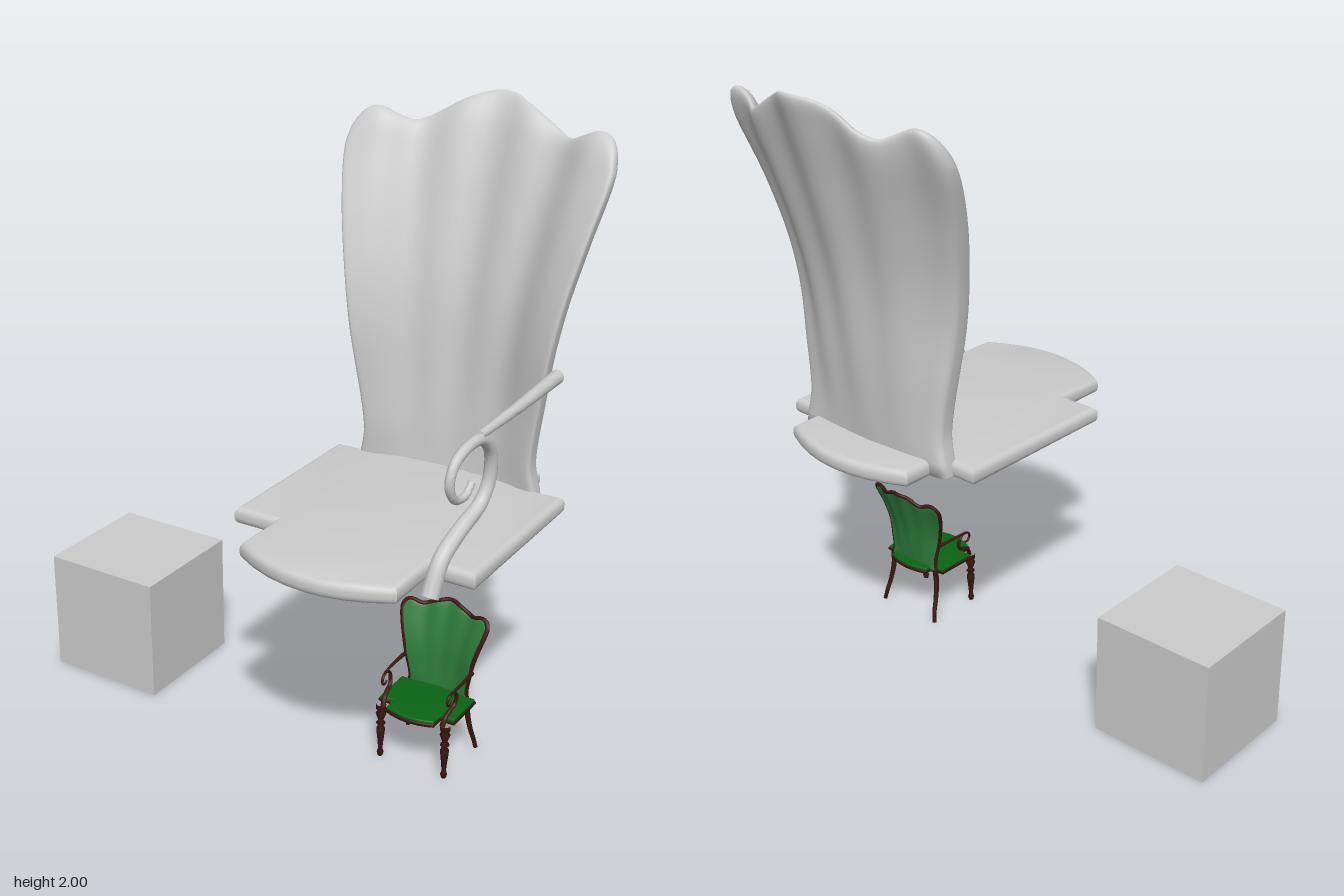
import * as THREE from 'three';
import { toCreasedNormals, mergeVertices } from 'three/addons/utils/BufferGeometryUtils.js';

const mat = (color) => new THREE.MeshStandardMaterial({ color });
const GREY = mat(0xcccccc), GREEN = mat(0x2c7a3a), SEAT_GREEN = mat(0x0a6414), BROWN = mat(0x3a1610);

function add(parent, name, geometry, material) {
  const m = new THREE.Mesh(geometry, material);
  m.name = name;
  parent.add(m);
  return m;
}

// Smooth curve through [input, output] pairs
function interp(pts, t) {
  const n = pts.length - 1;
  let i = 0;
  while (i < n - 1 && t > pts[i + 1][0]) i++;
  const slope = (j) => {
    const a = pts[Math.max(j - 1, 0)], b = pts[Math.min(j + 1, n)];
    return (b[1] - a[1]) / (b[0] - a[0]);
  };
  const [x0, y0] = pts[i], [x1, y1] = pts[i + 1], h = x1 - x0;
  const s = Math.min(Math.max((t - x0) / h, 0), 1), s2 = s * s, s3 = s2 * s;
  return y0 * (2 * s3 - 3 * s2 + 1) + slope(i) * h * (s3 - 2 * s2 + s)
    + y1 * (3 * s2 - 2 * s3) + slope(i + 1) * h * (s3 - s2);
}

// Backrest profiles: top edge across the width, then width, lean and wing curl by height
const BASE = 0.79;
const TOP = [[0, 2], [0.12, 1.993], [0.28, 1.965], [0.45, 1.92], [0.58, 1.895], [0.7, 1.915], [0.82, 1.936], [0.92, 1.925], [0.98, 1.885], [1, 1.83]];
const WIDTH = [[0.79, 0.32], [0.83, 0.315], [0.92, 0.298], [1.13, 0.325], [1.42, 0.372], [1.63, 0.415], [1.81, 0.449], [1.9, 0.447], [2, 0.44]];
const LEAN = [[0.79, -0.31], [1.05, -0.34], [1.4, -0.385], [1.71, -0.463], [1.9, -0.525], [2, -0.568]];
const CURL = [[0.79, 0.025], [1.05, 0.075], [1.29, 0.122], [1.61, 0.142], [1.82, 0.13], [2, 0.118]];

function backPoint(u, v) {
  const y = BASE + v * (interp(TOP, Math.abs(u)) - BASE);
  const flute = -0.014 * v * Math.cos(4 * Math.PI * u);
  return new THREE.Vector3(u * interp(WIDTH, y), y, interp(LEAN, y) + interp(CURL, y) * u * u + flute);
}

// Padded backrest as stacked closed cross-sections
function backGeometry() {
  const rows = 40, ring = 96, pos = [], index = [];
  for (let r = -1; r <= rows; r++) {
    const v = Math.sin(Math.max(r, 0) / rows * Math.PI / 2);
    const pad = r < 0 ? 0 : Math.sqrt(Math.max(0, 1 - v ** 30));
    for (let i = 0; i < ring; i++) {
      const a = i / ring * Math.PI * 2, u = Math.cos(a), s = Math.sin(a);
      const p = backPoint(u, v);
      const half = (0.024 + 0.036 * u ** 4) * pad;
      pos.push(p.x, p.y, p.z + half * Math.sign(s) * Math.abs(s) ** 0.45);
      if (r < rows) {
        const b = (r + 1) * ring, j = (i + 1) % ring;
        index.push(b + i, b + ring + i, b + j, b + j, b + ring + i, b + ring + j);
      }
    }
  }
  const g = new THREE.BufferGeometry();
  g.setAttribute('position', new THREE.Float32BufferAttribute(pos, 3));
  g.setIndex(index);
  g.computeVertexNormals();
  return g;
}

// Seat slab with narrower bowed tabs at front and rear
function seatGeometry() {
  const s = new THREE.Shape();
  s.moveTo(-0.262, 0.515);
  s.quadraticCurveTo(0, 0.68, 0.262, 0.515);
  [[0.262, 0.33], [0.409, 0.33], [0.409, -0.28], [0.262, -0.28], [0.262, -0.42]].forEach((p) => s.lineTo(...p));
  s.quadraticCurveTo(0, -0.56, -0.262, -0.42);
  [[-0.262, -0.28], [-0.409, -0.28], [-0.409, 0.33], [-0.262, 0.33]].forEach((p) => s.lineTo(...p));
  const g = new THREE.ExtrudeGeometry(s, {
    depth: 0.014, bevelThickness: 0.022, bevelSize: 0.022, bevelOffset: -0.022, bevelSegments: 4, curveSegments: 8,
  });
  g.rotateX(Math.PI / 2).translate(0, 0.815, 0);
  return toCreasedNormals(g, 0.6);
}

// Round bar whose radius runs from r0 to r1, with closed ends
function bar(points, r0, r1, segments = 48) {
  const curve = new THREE.CatmullRomCurve3(points.map((p) => (p.isVector3 ? p : new THREE.Vector3(...p))));
  const sides = 10, g = new THREE.TubeGeometry(curve, segments, 1, sides);
  const p = g.attributes.position, v = new THREE.Vector3();
  const index = [...g.index.array], all = [...p.array];
  for (let i = 0; i <= segments; i++) {
    const c = curve.getPointAt(i / segments), r = r0 + (r1 - r0) * i / segments;
    for (let j = 0; j <= sides; j++) {
      const k = i * (sides + 1) + j;
      v.fromBufferAttribute(p, k).sub(c).multiplyScalar(r).add(c).toArray(all, k * 3);
    }
  }
  for (const t of [0, 1]) {
    const centre = all.length / 3, b = t * segments * (sides + 1);
    all.push(...curve.getPointAt(t).toArray());
    for (let j = 0; j < sides; j++) index.push(centre, b + j + (t ? 0 : 1), b + j + (t ? 1 : 0));
  }
  const out = new THREE.BufferGeometry();
  out.setAttribute('position', new THREE.Float32BufferAttribute(all, 3));
  out.setIndex(index);
  return toCreasedNormals(mergeVertices(out, 1e-5), 0.9);
}

// Arm: straight rail and scrolled support
function addArm(parent, side, material) {
  const arm = new THREE.Group();
  arm.name = side > 0 ? 'leftArm' : 'rightArm';
  parent.add(arm);
  const place = (pts) => pts.map(([x, y, z]) => [side * x, y, z]);
  add(arm, 'armRail', bar(place([[0.358, 1.215, 0.24], [0.363, 1.221, 0], [0.359, 1.226, -0.272]]), 0.013, 0.023, 16), material);
  add(arm, 'armScroll', bar(place([
    [0.352, 1.08, 0.265], [0.35, 1.053, 0.3], [0.348, 1.063, 0.36], [0.346, 1.115, 0.39], [0.348, 1.17, 0.37],
    [0.353, 1.201, 0.305], [0.357, 1.197, 0.225], [0.357, 1.14, 0.165], [0.352, 1.05, 0.154],
    [0.344, 0.985, 0.19], [0.334, 0.94, 0.29], [0.325, 0.885, 0.38], [0.317, 0.785, 0.428],
  ]), 0.011, 0.028, 110), material);
}

export function createModel() {
  const root = new THREE.Group();
  const back = backGeometry(), seat = seatGeometry();

  // Plain block
  add(root, 'cube', new THREE.BoxGeometry(0.415, 0.415, 0.415), GREY).position.set(-0.628, 0.2075, 0.053);

  // Large legless seat with a single arm
  const large = new THREE.Group();
  large.name = 'largeChair';
  large.position.x = 0.385;
  root.add(large);
  add(large, 'backrest', back, GREY);
  add(large, 'seat', seat, GREY);
  addArm(large, 1, GREY);

  // Small finished chair: upper part shares the large chair's forms
  const small = new THREE.Group();
  small.name = 'smallChair';
  small.position.x = 0.516;
  root.add(small);
  const upper = new THREE.Group();
  upper.name = 'upperChair';
  upper.scale.set(0.33, 0.248, 0.24);
  upper.position.set(0, -0.011, 0.052);
  small.add(upper);
  add(upper, 'backrest', back, GREEN);
  add(upper, 'seatRail', seat, BROWN);
  const cushion = add(upper, 'seatCushion', seat, SEAT_GREEN);
  cushion.scale.set(0.97, 1, 0.97);
  cushion.position.y = 0.03;

  // Wooden frame following the backrest outline
  const outline = [];
  for (let i = 0; i < 10; i++) outline.push(backPoint(-1, i / 10));
  for (let i = 0; i <= 32; i++) outline.push(backPoint(-Math.cos(i / 32 * Math.PI), 1));
  for (let i = 9; i >= 0; i--) outline.push(backPoint(1, i / 10));
  add(upper, 'backFrame', bar(outline, 0.026, 0.026, 160), BROWN);

  // Turned front leg profile
  const turned = [
    [0, 0], [0.008, 0], [0.011, 0.012], [0.007, 0.024], [0.009, 0.05], [0.013, 0.085], [0.014, 0.1], [0.008, 0.11],
    [0.015, 0.12], [0.008, 0.13], [0.012, 0.142], [0.017, 0.155], [0.011, 0.165], [0.016, 0.172], [0.016, 0.19],
  ].map((p) => new THREE.Vector2(...p));
  const frontLeg = new THREE.LatheGeometry(turned, 16);
  for (const side of [1, -1]) {
    addArm(upper, side, BROWN);
    add(small, 'frontLeg', frontLeg, BROWN).position.set(side * 0.114, 0, 0.15);
    // Curved rear leg
    add(small, 'rearLeg', bar([
      [side * 0.102, 0.195, -0.018], [side * 0.106, 0.14, -0.018], [side * 0.112, 0.08, -0.03],
      [side * 0.118, 0.035, -0.045], [side * 0.124, 0.002, -0.051],
    ], 0.01, 0.007, 20), BROWN);
  }
  return root;
}
